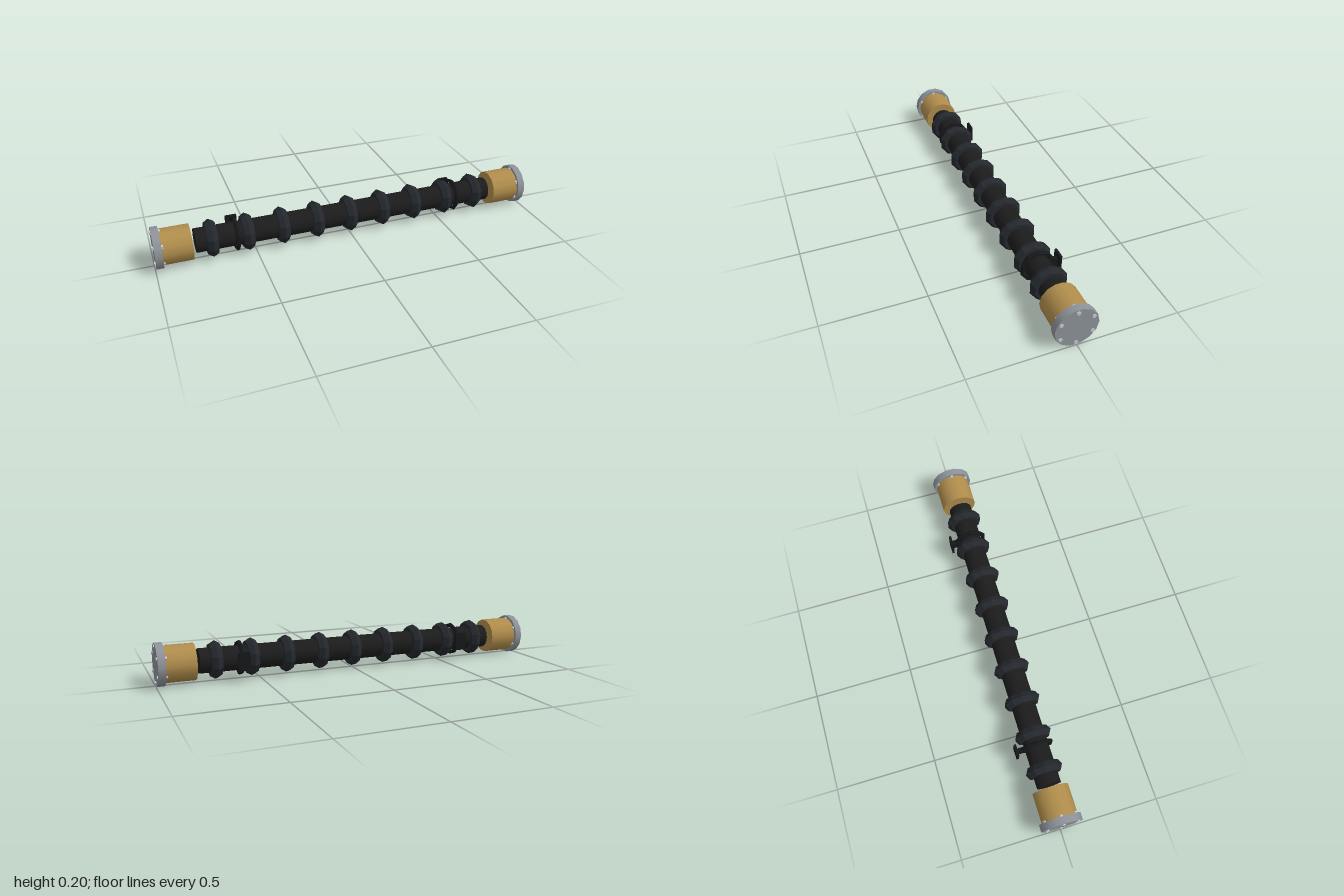
import * as THREE from 'three';

const mat = (color, flatShading = false) => {
  const m = new THREE.MeshStandardMaterial({ flatShading });
  m.color.set(color);
  return m;
};

export function createModel() {
  const root = new THREE.Group();
  const axis = new THREE.Group(); // everything sits around one axis along x
  axis.name = 'cylinderAssembly';
  axis.position.set(0, 0.1015, 0.003);
  root.add(axis);

  const rubber = mat(0x1c1c1c);
  const ribMat = mat(0x24282d, true);
  const clampMat = mat(0x15171a, true);
  const brass = mat(0xb08d4c);
  const steel = mat(0x8d939a);
  const boltMat = mat(0xc4c8cc, true);

  const add = (name, geometry, material, x = 0, y = 0, z = 0) => {
    const mesh = new THREE.Mesh(geometry, material);
    mesh.name = name;
    mesh.position.set(x, y, z);
    axis.add(mesh);
    return mesh;
  };
  // Cylinder lying along x
  const rod = (r, length, sides, start = 0) =>
    new THREE.CylinderGeometry(r, r, length, sides, 1, false, start).rotateZ(-Math.PI / 2);
  // Ring around the x axis, with a corner straight up
  const ring = (r, tube, tubeSides, sides) =>
    new THREE.TorusGeometry(r, tube, tubeSides, sides).rotateZ(Math.PI / 2).rotateY(Math.PI / 2);

  // Long central tube
  add('tube', rod(0.061, 1.592, 14), rubber);

  // Evenly spaced ribs with a pointed rim
  const ribGeo = ring(0.065, 0.03, 6, 10);
  for (let i = -4; i <= 4; i++) add('rib', ribGeo, ribMat, i * 0.179);

  const clampGeo = ring(0.076, 0.011, 6, 10);
  const stemGeo = new THREE.BoxGeometry(0.022, 0.045, 0.045);
  const plateGeo = new THREE.BoxGeometry(0.058, 0.09, 0.012);
  const capGeo = rod(0.09, 0.146, 14);
  const flangeGeo = rod(0.104, 0.036, 14);
  const boltGeo = rod(0.0105, 0.05, 5, Math.PI);

  for (const side of [-1, 1]) {
    // Mounting clamp with a plate at the back
    add('clampRing', clampGeo, clampMat, side * 0.595);
    add('clampStem', stemGeo, clampMat, side * 0.595, 0, -0.0775);
    add('clampPlate', plateGeo, clampMat, side * 0.595, 0.002, -0.104);

    // Brass end cap, flange and through bolts
    add('endCap', capGeo, brass, side * 0.886);
    add('flange', flangeGeo, steel, side * 0.977);
    for (let i = 0; i < 6; i++) {
      const a = (i * Math.PI) / 3;
      add('bolt', boltGeo, boltMat, side * 0.975, 0.087 * Math.cos(a), 0.087 * Math.sin(a));
    }
  }
  return root;
}
